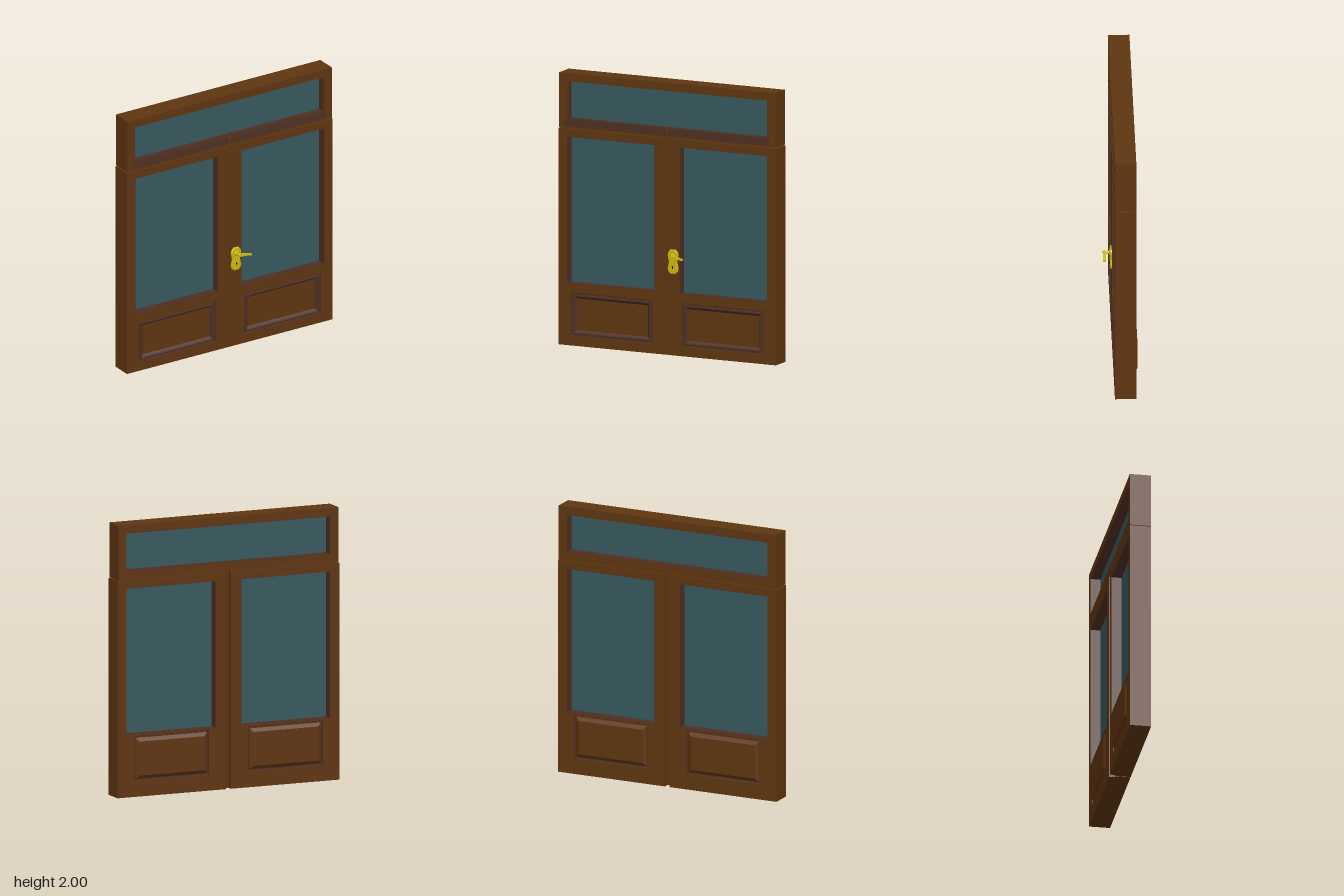
import * as THREE from 'three';

const mat = (color) => new THREE.MeshStandardMaterial({ color, flatShading: true });
const wood = mat(0x5f3510), trim = mat(0x4e2f22), glass = mat(0x38595f);
const brass = mat(0xcdb80e), dark = mat(0x0c0a06);
const FRONT = 0.05, MID = -0.06, BACK = -0.105;

function add(parent, name, geometry, material, x = 0, y = 0, z = 0) {
  const mesh = new THREE.Mesh(geometry, material);
  mesh.name = name;
  mesh.position.set(x, y, z);
  parent.add(mesh);
  return mesh;
}

const polygon = (points) => new THREE.Shape(points.map(([x, y]) => new THREE.Vector2(x, y)));
const rect = (x0, x1, y0, y1) => polygon([[x0, y0], [x1, y0], [x1, y1], [x0, y1]]);
const rectAt = (x, y, hw, hh) => rect(x - hw, x + hw, y - hh, y + hh);

// Flat board between two depths, with openings
function board(outline, holes, z0, z1) {
  outline.holes = holes;
  const g = new THREE.ExtrudeGeometry(outline, { depth: z1 - z0, bevelEnabled: false });
  return g.translate(0, 0, z0);
}

// Mitred rectangular moulding facing +z; profile is a list of [inset, z]
function moulding(hw, hh, profile, capped) {
  const pos = [];
  const corners = profile.map(([d, z]) => {
    const w = hw - d, h = hh - d;
    return [[-w, -h, z], [w, -h, z], [w, h, z], [-w, h, z]];
  });
  const quad = (a, b, c, d) => pos.push(...a, ...b, ...c, ...a, ...c, ...d);
  for (let i = 0; i + 1 < corners.length; i++) {
    for (let k = 0; k < 4; k++) {
      const n = (k + 1) % 4;
      quad(corners[i][k], corners[i][n], corners[i + 1][n], corners[i + 1][k]);
    }
  }
  if (capped) quad(...corners[corners.length - 1]);
  const g = new THREE.BufferGeometry();
  g.setAttribute('position', new THREE.Float32BufferAttribute(pos, 3));
  g.computeVertexNormals();
  return g;
}

// Glass pane with a dark lining around its opening
function addWindow(parent, x, y, hw, hh) {
  add(parent, 'windowLining', board(rectAt(x, y, hw + 0.002, hh + 0.002),
    [rectAt(x, y, hw - 0.003, hh - 0.003)], BACK + 0.002, FRONT - 0.002), trim);
  add(parent, 'windowPane', new THREE.BoxGeometry(hw * 2, hh * 2, 0.016), glass, x, y, -0.025);
}

function makeDoor(s) {
  const door = new THREE.Group();
  door.name = s > 0 ? 'leftDoor' : 'rightDoor';
  const windowHole = () => rectAt(s * 0.455, 0.995, 0.355, 0.54);
  const leaf = (inner) => rect(Math.min(s * inner, s * 0.88), Math.max(s * inner, s * 0.88), 0, 1.591);

  // Two layers: the back one stops short to leave a groove between the doors
  add(door, 'doorFrontLayer', board(leaf(0.003),
    [windowHole(), rectAt(s * 0.45, 0.23, 0.33, 0.16)], MID, FRONT), wood);
  add(door, 'doorBackLayer', board(leaf(0.02),
    [windowHole(), rectAt(s * 0.4525, 0.28, 0.298, 0.165)], BACK, MID), wood);
  addWindow(door, s * 0.455, 0.995, 0.355, 0.54);

  // Lower front panel
  add(door, 'frontPanelMoulding', moulding(0.33, 0.16,
    [[0, 0], [0.004, -0.012], [0.012, -0.012], [0.016, 0.002], [0.026, 0.002], [0.034, -0.01], [0.044, -0.02]]),
    trim, s * 0.45, 0.23, FRONT);
  add(door, 'frontPanelField', moulding(0.286, 0.116, [[0, -0.02]], true), wood, s * 0.45, 0.23, FRONT);

  // Raised and fielded back panel
  const back = new THREE.Group();
  back.name = 'backPanel';
  back.position.set(s * 0.4525, 0.28, BACK);
  back.rotation.y = Math.PI;
  add(back, 'backPanelGroove', moulding(0.298, 0.165,
    [[0, 0], [0.005, -0.018], [0.013, -0.018]]), trim);
  add(back, 'backPanelField', moulding(0.285, 0.152,
    [[0, -0.018], [0.002, -0.008], [0.027, 0.011], [0.031, 0.011]], true), wood);
  door.add(back);
  return door;
}

function makeTransom() {
  const transom = new THREE.Group();
  transom.name = 'transom';
  const outline = () => rect(-0.875, 0.875, 1.597, 2);
  const notch = polygon([[-0.81, 1.94], [-0.81, 1.66], [-0.845, 1.607], [0.845, 1.607], [0.81, 1.66], [0.81, 1.94]]);
  add(transom, 'transomBackLayer', board(outline(), [rectAt(0, 1.8, 0.81, 0.14)], BACK, 0.02), wood);
  add(transom, 'transomFrontLayer', board(outline(), [notch], 0.02, FRONT), wood);
  add(transom, 'transomLining', board(rectAt(0, 1.8, 0.812, 0.142),
    [rectAt(0, 1.8, 0.807, 0.137)], BACK + 0.002, 0.02), trim);
  add(transom, 'transomPane', new THREE.BoxGeometry(1.62, 0.28, 0.016), glass, 0, 1.8, -0.025);

  // Stepped sill mouldings either side of a small centre block
  for (const s of [-1, 1]) {
    const steps = [[1.607, 0.845, 1.66, 0.81, 0.033], [1.607, 0.845, 1.647, 0.82, 0.04], [1.607, 0.845, 1.62, 0.836, 0.047]];
    for (const [y0, xa, y1, xb, z] of steps) {
      add(transom, 'sillMoulding', board(polygon([[s * 0.012, y0], [s * xa, y0], [s * xb, y1], [s * 0.012, y1]]),
        [], 0.018, z), trim);
    }
  }
  add(transom, 'sillBlock', new THREE.BoxGeometry(0.018, 0.053, 0.032), wood, 0, 1.6335, 0.034);
  return transom;
}

function makeHandle() {
  const handle = new THREE.Group();
  handle.name = 'doorHandle';
  handle.position.set(0.05, 0.69, FRONT);

  // Escutcheon plate
  const half = [[0.018, -0.086], [0.034, -0.07], [0.038, -0.05], [0.028, 0], [0.038, 0.045], [0.034, 0.066], [0.018, 0.084]];
  const plate = polygon([...half, ...half.map(([x, y]) => [-x, y]).reverse()]);
  add(handle, 'handlePlate', new THREE.ExtrudeGeometry(plate, {
    depth: 0.006, bevelThickness: 0.007, bevelSize: 0.005, bevelSegments: 1,
  }), brass);

  // Keyhole
  add(handle, 'keyholeRound', new THREE.CylinderGeometry(0.006, 0.006, 0.002, 10).rotateX(Math.PI / 2), dark, 0, -0.035, 0.0135);
  add(handle, 'keyholeSlot', new THREE.BoxGeometry(0.005, 0.016, 0.002), dark, 0, -0.044, 0.0135);

  // Rose, stem and lever
  add(handle, 'handleRose', new THREE.CylinderGeometry(0.016, 0.021, 0.008, 12).rotateX(Math.PI / 2), brass, 0, 0.042, 0.016);
  add(handle, 'handleStem', new THREE.CylinderGeometry(0.009, 0.009, 0.05, 10).rotateX(Math.PI / 2), brass, 0, 0.042, 0.036);
  const lever = polygon([[-0.01, 0.034], [0.04, 0.033], [0.1, 0.023], [0.1, 0.034], [0.045, 0.046], [0.005, 0.053], [-0.01, 0.049]]);
  add(handle, 'handleLever', board(lever, [], 0.042, 0.064), brass);
  return handle;
}

export function createModel() {
  const model = new THREE.Group();
  model.name = 'doubleDoor';
  model.add(makeDoor(1), makeDoor(-1), makeTransom(), makeHandle());
  return model;
}
